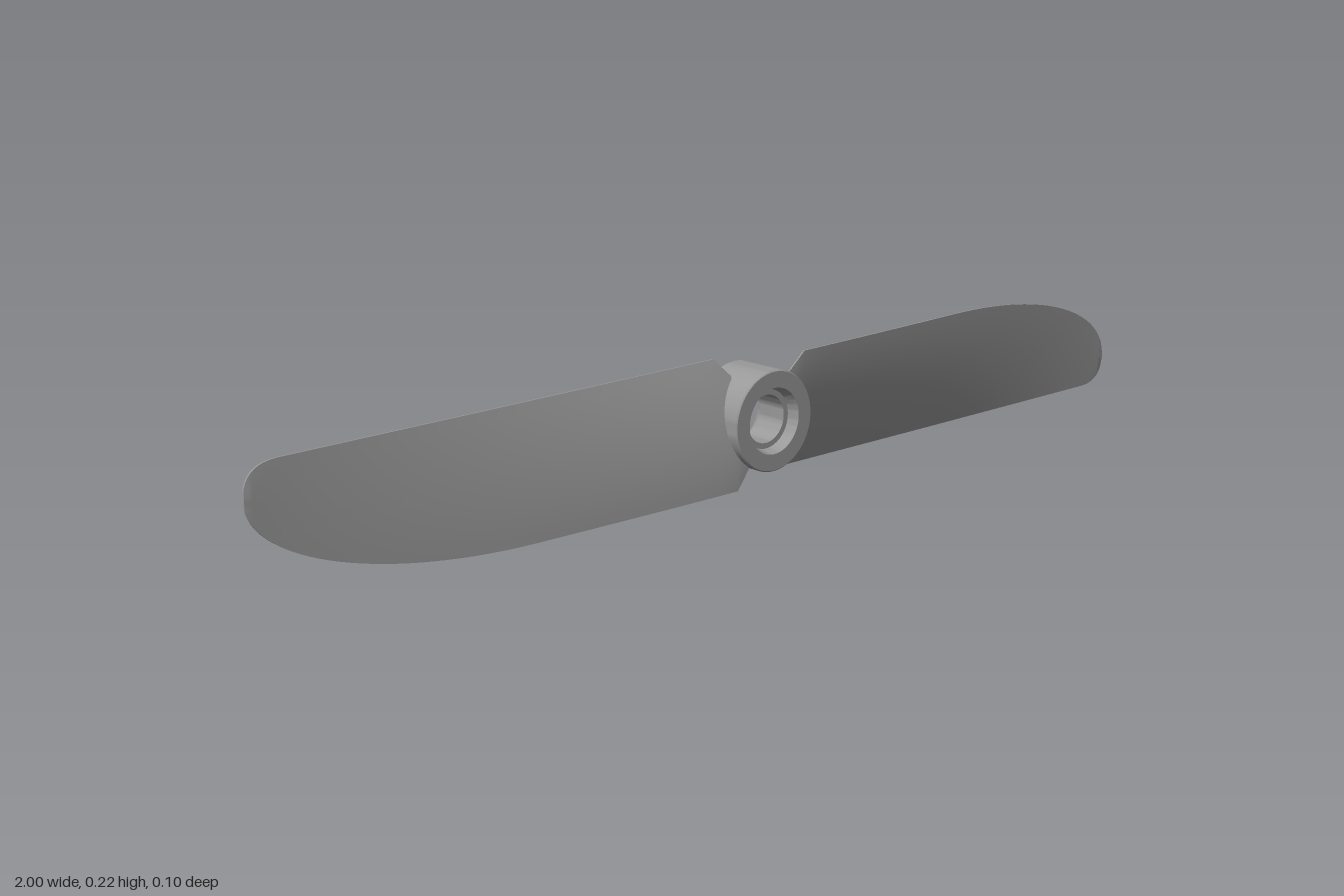
import * as THREE from 'three';
import { toCreasedNormals } from 'three/addons/utils/BufferGeometryUtils.js';

const CENTRE_Y = 0.111;
const CHORD = 0.222;
const lerp = THREE.MathUtils.lerp;

// Outline of the blade: lower and upper edge at distance x from the axis
function edges(x) {
  if (x < 0.08) {
    const cut = 0.037 * (0.08 - x) / 0.035;       // chamfered root corners
    return [cut, CHORD - cut];
  }
  const arc = (start, power) => {
    const u = Math.max(0, (x - start) / (1 - start));
    return Math.max(0, 1 - u ** power) ** (1 / power);
  };
  const tipY = 0.055;
  return [tipY - tipY * arc(0.935, 2.5), tipY + (CHORD - tipY) * arc(0.5, 2.05)];
}

// Twisted, slightly cambered blade lofted from thin sections along +x
function bladeGeometry() {
  const stations = [0.05, 0.065, 0.08];
  for (let i = 1; i <= 10; i++) stations.push(lerp(0.08, 0.5, i / 10));
  for (let i = 1; i <= 32; i++) stations.push(0.5 + 0.5 * Math.sin(i / 32 * Math.PI / 2));
  const n = 16, ring = 2 * (n + 1);
  const pos = [], index = [];

  for (const x of stations) {
    const [lo, hi] = edges(x);
    const s = THREE.MathUtils.clamp((x - 0.08) / 0.92, 0, 1);
    const zLow = lerp(-0.008, -0.019, (1 - s) ** 1.5);
    const zHigh = lerp(0.042, -0.001, s ** 1.25);
    const point = (t, side) => {
      const y = lerp(lo, hi, t), f = y / CHORD;
      const mid = lerp(zLow, zHigh, f) + 0.007 * (1 - s) * 4 * f * (1 - f);
      const half = 0.0015 + 0.005 * (1 - 0.8 * s) * 4 * t * (1 - t);
      pos.push(x, y - CENTRE_Y, mid + side * half);
    };
    for (let j = 0; j <= n; j++) point(j / n, 1);
    for (let j = n; j >= 0; j--) point(j / n, -1);
  }
  for (let i = 0; i < stations.length - 1; i++) {
    for (let j = 0; j < ring; j++) {
      const k = (j + 1) % ring;
      const a = i * ring + j, b = a + ring, c = (i + 1) * ring + k, d = i * ring + k;
      index.push(a, b, c, a, c, d);
    }
  }
  const g = new THREE.BufferGeometry();
  g.setAttribute('position', new THREE.Float32BufferAttribute(pos, 3));
  g.setIndex(index);
  return toCreasedNormals(g, 0.6);
}

// Hub with a through bore and a tapered recess at both ends
function hubGeometry() {
  const profile = [
    [0.088, -0.051], [0.09, -0.049], [0.09, 0.049], [0.088, 0.051],
    [0.059, 0.051], [0.053, 0.03], [0.043, 0.03],
    [0.043, -0.03], [0.053, -0.03], [0.059, -0.051], [0.088, -0.051],
  ].map(([r, y]) => new THREE.Vector2(r, y));
  const g = new THREE.LatheGeometry(profile, 64);
  g.rotateX(Math.PI / 2);
  return toCreasedNormals(g, 0.5);
}

export function createModel() {
  const model = new THREE.Group();
  model.name = 'propeller';
  const material = new THREE.MeshStandardMaterial({ color: 0x999999 });

  const add = (name, geometry) => {
    const mesh = new THREE.Mesh(geometry, material);
    mesh.name = name;
    mesh.position.y = CENTRE_Y;
    model.add(mesh);
    return mesh;
  };

  add('hub', hubGeometry());

  // Two identical blades, half a turn apart
  const blade = bladeGeometry();
  add('leftBlade', blade);
  add('rightBlade', blade).rotation.z = Math.PI;

  return model;
}
